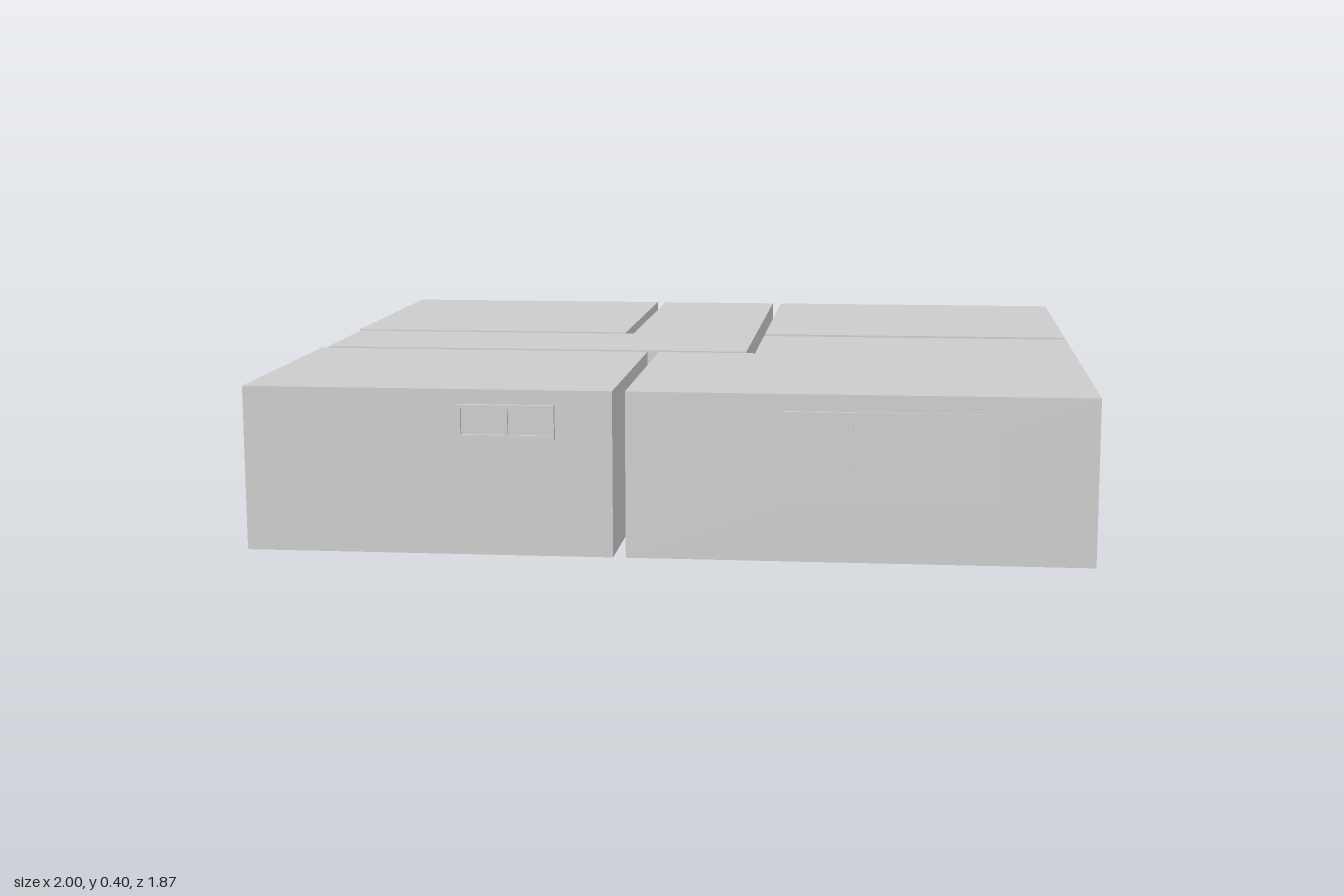
import * as THREE from 'three';

const H = 0.395;       // room height
const DOOR_H = 0.305;
const JAMB = 0.015;

const grey = new THREE.MeshStandardMaterial({ color: 0xcccccc, flatShading: true });
const shell = new THREE.MeshStandardMaterial({ color: 0xcccccc, flatShading: true, side: THREE.DoubleSide });

// Room outlines as [x, z] corners, starting along the front wall
const rooms = {
  backRightRoom: [[-1, -0.15], [-0.23, -0.15], [-0.23, -0.925], [-1, -0.925]],
  backLeftRoom: [[0.165, -0.15], [1, -0.15], [1, -0.925], [0.165, -0.925]],
  hall: [[-0.99, 0.217], [0.14, 0.217], [0.14, -0.925], [-0.205, -0.925], [-0.205, -0.125], [-0.99, -0.125]],
  frontRightRoom: [[-1, 0.92], [-0.12, 0.92], [-0.12, 0.245], [-1, 0.245]],
  frontLeftRoom: [[-0.09, 0.92], [1, 0.92], [1, -0.11], [0.165, -0.11], [0.165, 0.245], [-0.09, 0.245]],
};

// Doorways bridge the gaps between rooms: x/z ranges, and the axis one walks along
const doors = [
  { name: 'backRightDoorway', x: [-0.23, -0.205], z: [-0.41, -0.275], axis: 'x' },
  { name: 'backLeftDoorway', x: [0.14, 0.165], z: [-0.41, -0.275], axis: 'x' },
  { name: 'frontLeftDoorway', x: [0.14, 0.165], z: [0.01, 0.155], axis: 'x' },
  { name: 'frontRightDoorway', x: [-0.26, -0.12], z: [0.217, 0.245], axis: 'z' },
  { name: 'entranceDoorway', x: [-1, -0.988], z: [-0.01, 0.135], axis: 'x' },
];

const mid = (r) => (r[0] + r[1]) / 2;

function addBox(parent, name, x, y, z) {
  const mesh = new THREE.Mesh(new THREE.BoxGeometry(x[1] - x[0], y[1] - y[0], z[1] - z[0]), grey);
  mesh.position.set(mid(x), mid(y), mid(z));
  mesh.name = name;
  parent.add(mesh);
}

// One upright wall from a to b, notched wherever a doorway meets it
function makeWall(a, b) {
  const start = new THREE.Vector3(a[0], 0, a[1]);
  const dir = new THREE.Vector3(b[0] - a[0], 0, b[1] - a[1]);
  const length = dir.length();
  dir.normalize();
  const up = new THREE.Vector3(0, 1, 0);
  const out = new THREE.Vector3().crossVectors(dir, up);

  const cuts = [];
  for (const d of doors) {
    const toDoor = new THREE.Vector3(mid(d.x), 0, mid(d.z)).sub(start);
    const s = toDoor.dot(dir);
    const alongWall = Math.abs(out[d.axis]) > 0.5;
    if (!alongWall || Math.abs(toDoor.dot(out)) > 0.025 || s < 0 || s > length) continue;
    const span = d.axis === 'x' ? d.z : d.x;
    const half = (span[1] - span[0]) / 2 - JAMB;
    cuts.push([s - half, s + half]);
  }
  cuts.sort((p, q) => p[0] - q[0]);

  const shape = new THREE.Shape().moveTo(0, 0);
  for (const [s0, s1] of cuts) {
    shape.lineTo(s0, 0).lineTo(s0, DOOR_H - JAMB).lineTo(s1, DOOR_H - JAMB).lineTo(s1, 0);
  }
  shape.lineTo(length, 0).lineTo(length, H).lineTo(0, H);
  const geometry = new THREE.ShapeGeometry(shape);
  geometry.applyMatrix4(new THREE.Matrix4().makeBasis(dir, up, out).setPosition(start));
  const mesh = new THREE.Mesh(geometry, shell);
  mesh.name = 'wall';
  return mesh;
}

// Hollow room: floor, ceiling and a ring of walls
function makeRoom(name, corners) {
  const room = new THREE.Group();
  room.name = name;
  const plan = new THREE.Shape(corners.map(([x, z]) => new THREE.Vector2(x, -z)));
  const ceiling = new THREE.Mesh(new THREE.ShapeGeometry(plan).rotateX(-Math.PI / 2), shell);
  ceiling.position.y = H;
  ceiling.name = 'ceiling';
  const flipped = new THREE.Shape(corners.map(([x, z]) => new THREE.Vector2(x, z)));
  const floor = new THREE.Mesh(new THREE.ShapeGeometry(flipped).rotateX(Math.PI / 2), shell);
  floor.name = 'floor';
  room.add(ceiling, floor);
  corners.forEach((a, i) => room.add(makeWall(a, corners[(i + 1) % corners.length])));
  return room;
}

// Two jambs, a lintel and a sill
function makeDoorway({ name, x, z, axis }) {
  const door = new THREE.Group();
  door.name = name;
  const span = axis === 'x' ? z : x;
  const add = (part, s, y) => (axis === 'x' ? addBox(door, part, x, y, s) : addBox(door, part, s, y, z));
  add('jamb', [span[0], span[0] + JAMB], [0, DOOR_H]);
  add('jamb', [span[1] - JAMB, span[1]], [0, DOOR_H]);
  add('lintel', [span[0] + JAMB, span[1] - JAMB], [DOOR_H - JAMB, DOOR_H]);
  add('sill', [span[0] + JAMB, span[1] - JAMB], [0, 0.004]);
  return door;
}

// Framed window; the outward depth of each pane is listed from -x to +x
function makeWindow({ name, x, y, face, frame, panes, mullion }) {
  const win = new THREE.Group();
  win.name = name;
  const side = Math.sign(face);
  const depth = (d) => (side > 0 ? [face, face + d] : [face - d, face]);
  const [x0, x1, y0, y1] = [x[0] + frame, x[1] - frame, y[0] + frame, y[1] - frame];
  if (frame) {
    addBox(win, 'frameSide', [x[0], x0], y, depth(0.013));
    addBox(win, 'frameSide', [x1, x[1]], y, depth(0.013));
    addBox(win, 'frameTop', [x0, x1], [y1, y[1]], depth(0.013));
    addBox(win, 'frameBottom', [x0, x1], [y[0], y0], depth(0.013));
  }
  const w = (x1 - x0) / panes.length;
  panes.forEach((d, i) => addBox(win, 'pane', [x0 + i * w, x0 + (i + 1) * w], [y0, y1], depth(d)));
  if (mullion) addBox(win, 'mullion', [mid(x) - 0.005, mid(x) + 0.005], [y0, y1], depth(0.011));
  return win;
}

const windows = [
  { name: 'backRightWindow', x: [-0.655, -0.34], y: [0.11, 0.345], face: -0.925, frame: 0.014, panes: [0.003, 0.003], mullion: true },
  { name: 'backLeftWindow', x: [0.36, 0.66], y: [0.11, 0.345], face: -0.925, frame: 0.014, panes: [0.008, 0.003] },
  { name: 'hallWindow', x: [-0.15, 0.085], y: [0.28, 0.36], face: -0.925, frame: 0.009, panes: [0.003, 0.003], mullion: true },
  { name: 'frontRightWindow', x: [-0.485, -0.255], y: [0.28, 0.36], face: 0.92, frame: 0.009, panes: [0.003, 0.003], mullion: true },
  { name: 'frontLeftWindow', x: [0.275, 0.77], y: [0.14, 0.355], face: 0.92, frame: 0, panes: [0.01, 0.007, 0.004] },
];

export function createModel() {
  const model = new THREE.Group();
  model.name = 'floorPlan';
  for (const [name, corners] of Object.entries(rooms)) model.add(makeRoom(name, corners));
  for (const d of doors) model.add(makeDoorway(d));
  for (const w of windows) model.add(makeWindow(w));
  return model;
}
